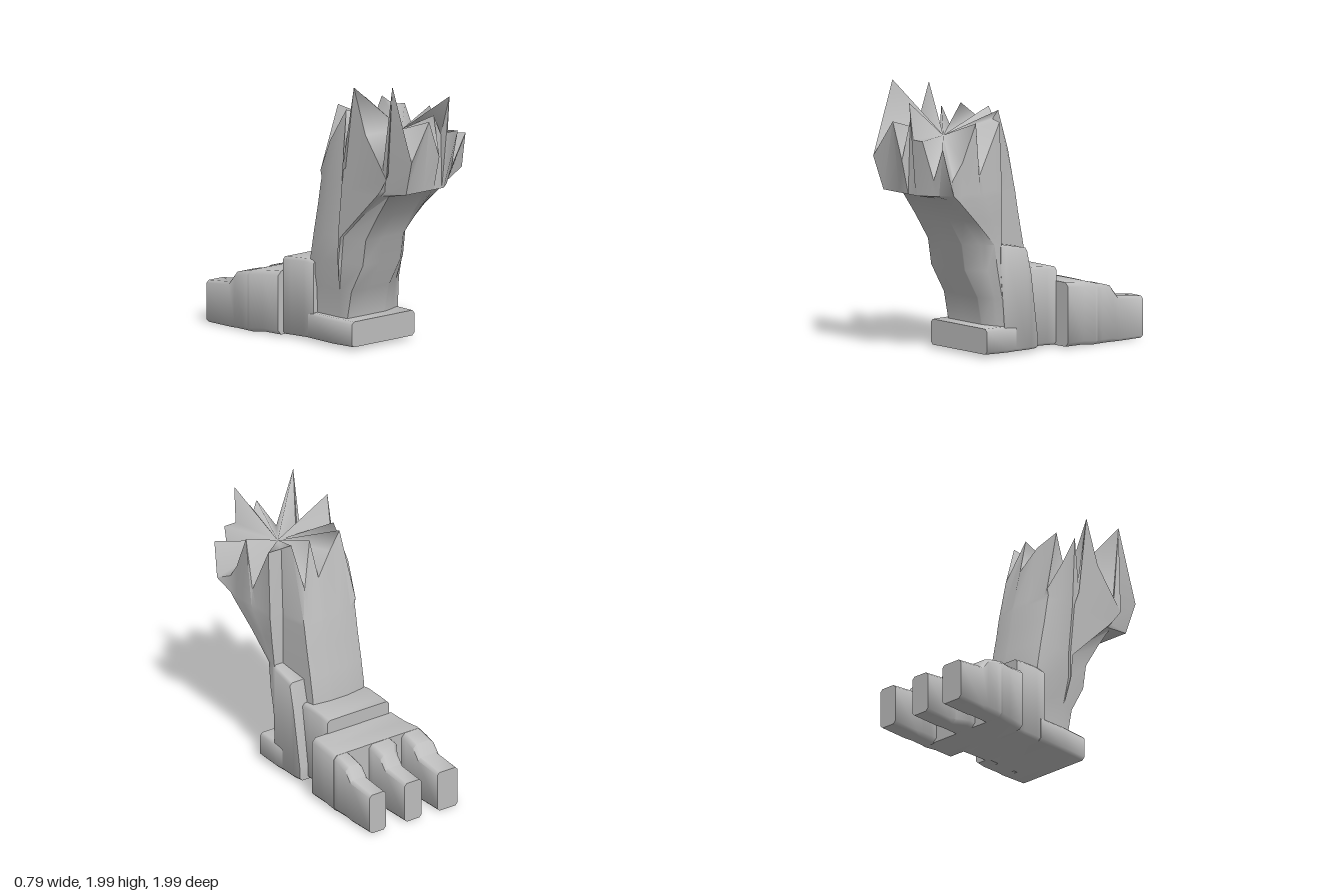
import * as THREE from 'three';
import { toCreasedNormals } from 'three/addons/utils/BufferGeometryUtils.js';

const stone = new THREE.MeshStandardMaterial({ color: 0xbebebe, side: THREE.DoubleSide });
stone.name = 'grey stone';

function meshFrom(name, pos, index, crease) {
  const geo = new THREE.BufferGeometry();
  geo.setAttribute('position', new THREE.Float32BufferAttribute(pos, 3));
  geo.setIndex(index);
  geo.computeVertexNormals();
  const mesh = new THREE.Mesh(crease ? toCreasedNormals(geo, crease) : geo, stone);
  mesh.name = name;
  return mesh;
}

// Skin between rings of points, with flat ends where wanted
function loft(name, rings, crease, closedEnd = true) {
  const n = rings[0].length, last = rings.length - 1, c0 = rings.length * n;
  const mean = ring => [0, 1, 2].map(k => ring.reduce((s, p) => s + p[k], 0) / n);
  const pos = [...rings.flat(2), ...mean(rings[0]), ...mean(rings[last])];
  const index = [];
  for (let i = 0; i < n; i++) {
    const j = (i + 1) % n;
    for (let r = 0; r < last; r++) {
      const a = r * n + i, b = r * n + j, c = a + n, d = b + n;
      index.push(a, c, b, b, c, d);
    }
    index.push(c0, i, j);
    if (closedEnd) index.push(c0 + 1, last * n + j, last * n + i);
  }
  return meshFrom(name, pos, index, crease);
}

// Block with bevelled long edges, lofted towards -z: [z, x0, x1, y0, y1, bevel]
function block(name, sections) {
  return loft(name, sections.map(([z, x0, x1, y0, y1, c]) => [
    [x0 + c, y0, z], [x1 - c, y0, z], [x1, y0 + c, z], [x1, y1 - c, z],
    [x1 - c, y1, z], [x0 + c, y1, z], [x0, y1 - c, z], [x0, y0 + c, z],
  ]), 0.95);
}

// Broken rim of the leg, round from the back: x, y, z
const rim = [
  [-0.27, 1.26, 0.05], [-0.23, 1.76, 0.19], [-0.1, 1.66, 0.13], [0.03, 1.5, 0.09],
  [0.05, 1.77, 0.17], [0.16, 1.45, 0.08], [0.19, 1.76, 0.2], [0.22, 1.71, 0.28],
  [0.32, 1.7, 0.3], [0.32, 1.33, 0.49], [0.34, 1.72, 0.54], [0.335, 1.45, 0.66],
  [0.33, 1.34, 0.74], [0.39, 1.31, 0.82], [0.37, 1.57, 0.88], [0.25, 1.33, 0.86],
  [0.23, 1.62, 0.95], [0.13, 1.62, 0.95], [0.12, 1.89, 0.98], [0.11, 1.6, 0.9],
  [0.04, 1.75, 0.9], [0.03, 1.46, 0.97], [-0.07, 1.73, 0.97], [-0.26, 1.46, 0.99],
  [-0.27, 1.99, 0.8], [-0.31, 1.31, 0.78], [-0.3, 1.6, 0.55], [-0.3, 1.93, 0.43],
  [-0.32, 1.31, 0.33], [-0.28, 1.75, 0.33], [-0.3, 1.5, 0.18],
];

// Leg outline at a height: flat back, sides running to zSide, front at zFront
// with its left corner cut off
function legRing([y, xMin, xMax, zBack, zSide, zFront]) {
  const { mapLinear, clamp, lerp, smoothstep } = THREE.MathUtils;
  const shoulder = Math.min(0.26, zSide - 0.01);
  return rim.map(([x, , z]) => {
    if (z > 0.81) {
      const fx = clamp(x, -0.24, xMax);
      return [fx, y, lerp(zFront, zSide, smoothstep(fx, 0.12, 0.36))];
    }
    const flatBack = z < 0.25 && x > -0.29;
    const zz = flatBack ? zBack + 0.25 * Math.max(0, Math.abs(x + 0.02) - 0.12)
      : z <= 0.28 ? mapLinear(z, 0.05, 0.28, zBack, shoulder)
        : mapLinear(z, 0.28, 0.81, shoulder, zSide);
    return [clamp(x, xMin, xMax), y, zz];
  });
}

export function createModel() {
  const model = new THREE.Group();
  model.name = 'brokenStatueFoot';

  // Leg leaning towards +z
  const levels = [
    [0.05, -0.25, 0.3, -0.1, 0.23, 0.3],
    [0.21, -0.25, 0.3, -0.1, 0.23, 0.3],
    [0.41, -0.26, 0.3, -0.1, 0.24, 0.34],
    [0.62, -0.3, 0.3, -0.085, 0.27, 0.46],
    [0.81, -0.3, 0.295, -0.05, 0.29, 0.49],
    [1.0, -0.3, 0.31, -0.01, 0.5, 0.61],
    [1.17, -0.3, 0.33, 0.02, 0.69, 0.73],
    [1.21, -0.3, 0.33, 0.03, 0.73, 0.91],
  ];
  model.add(loft('leg', [...levels.map(legRing), rim], 0.75, false));

  // Jagged break, fanned from one point
  const n = rim.length;
  model.add(meshFrom('brokenTop', [...rim.flat(), 0.03, 1.6, 0.58],
    rim.flatMap((_, i) => [n, (i + 1) % n, i])));

  // Heel pad and the ankle bulge on the model's left
  model.add(block('heel', [
    [0.41, -0.3, 0.31, 0.025, 0.21, 0.02],
    [0.2, -0.31, 0.32, 0.02, 0.21, 0.02],
    [-0.05, -0.3, 0.3, 0.02, 0.21, 0.02],
  ]));
  model.add(block('ankleBulge', [
    [0.27, 0.17, 0.3, 0.6, 0.81, 0.02],
    [0.23, 0.17, 0.31, 0.02, 0.8, 0.02],
    [0.04, 0.17, 0.32, 0.02, 0.76, 0.02],
    [0, 0.17, 0.32, 0.02, 0.59, 0.02],
    [-0.07, 0.17, 0.31, 0.02, 0.12, 0.02],
  ]));

  // Instep, then the wider front of the foot
  model.add(block('instep', [
    [0.0, -0.29, 0.24, 0.02, 0.59, 0.02],
    [-0.09, -0.3, 0.24, 0.02, 0.595, 0.02],
    [-0.22, -0.305, 0.24, 0.015, 0.585, 0.02],
    [-0.305, -0.305, 0.24, 0.01, 0.575, 0.02],
  ]));
  model.add(block('forefoot', [
    [-0.3, -0.355, 0.375, 0.01, 0.475, 0.03],
    [-0.45, -0.37, 0.38, 0.01, 0.46, 0.03],
    [-0.55, -0.4, 0.385, 0, 0.45, 0.03],
    [-0.57, -0.4, 0.385, 0, 0.445, 0.03],
  ]));

  // Three toes, the middle one with a web at its root
  for (const [name, x0, x1, web] of [
    ['rightToe', -0.4, -0.22, 0], ['middleToe', -0.08, 0.07, 0.06], ['leftToe', 0.235, 0.38, 0],
  ]) {
    model.add(block(name, [
      [-0.56, x0 - web, x1, 0, 0.445, 0.03],
      [-0.62, x0 - web, x1, 0, 0.435, 0.03],
      [-0.71, x0, x1, 0, 0.41, 0.03],
      [-0.77, x0, x1, 0, 0.33, 0.02],
      [-1, x0, x1, 0, 0.305, 0.02],
    ]));
  }
  return model;
}
